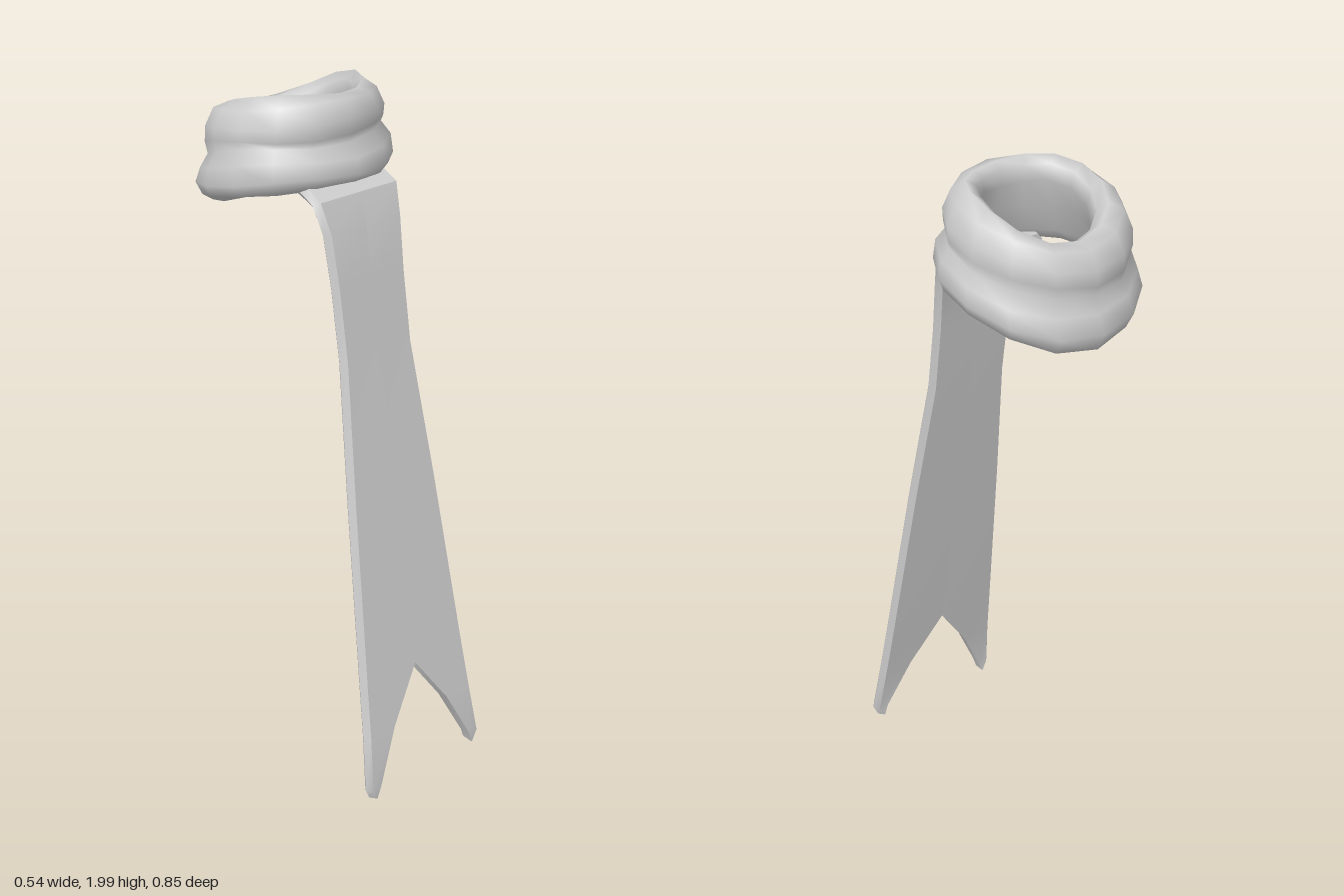
import * as THREE from 'three';
import { toCreasedNormals } from 'three/addons/utils/BufferGeometryUtils.js';

// Skins a list of closed cross-sections; either joins the ends or caps them.
function loft(sections, joinEnds) {
  const n = sections.length, m = sections[0].length, index = [];
  for (let i = 0; i < (joinEnds ? n : n - 1); i++) {
    for (let j = 0; j < m; j++) {
      const k = (i + 1) % n, l = (j + 1) % m;
      const a = i * m + j, b = k * m + j, c = k * m + l, d = i * m + l;
      index.push(a, b, d, b, c, d);
    }
  }
  if (!joinEnds) {
    const e = (n - 1) * m;
    for (let j = 1; j < m - 1; j++) index.push(0, j, j + 1, e, e + j + 1, e + j);
  }
  const geometry = new THREE.BufferGeometry();
  geometry.setAttribute('position', new THREE.Float32BufferAttribute(sections.flat(2), 3));
  geometry.setIndex(index);
  geometry.computeVertexNormals();
  return geometry;
}

// Folded neck wrap: each row is one ring of the fold profile, going down the outside and up the inside.
function wrapGeometry() {
  // half width, front z, back z, then height at front, side and back
  const rings = [
    [0.185, 0.035, -0.32, 1.990, 1.980, 1.890],
    [0.222, 0.072, -0.365, 1.980, 1.950, 1.885],
    [0.246, 0.090, -0.390, 1.930, 1.900, 1.835],
    [0.248, 0.082, -0.392, 1.890, 1.865, 1.790],
    [0.244, 0.072, -0.380, 1.870, 1.840, 1.760],
    [0.268, 0.104, -0.400, 1.835, 1.805, 1.715],
    [0.275, 0.112, -0.425, 1.790, 1.755, 1.670],
    [0.262, 0.098, -0.400, 1.762, 1.725, 1.625],
    [0.240, 0.075, -0.355, 1.752, 1.715, 1.610],
    [0.210, 0.050, -0.315, 1.785, 1.750, 1.660],
    [0.175, 0.035, -0.300, 1.860, 1.830, 1.750],
    [0.142, 0.015, -0.275, 1.930, 1.915, 1.835],
    [0.155, 0.015, -0.290, 1.970, 1.960, 1.870],
  ];
  const sides = 14, centre = -0.14, sections = [];
  for (let i = 0; i < sides; i++) {
    const t = (i / sides) * Math.PI * 2, c = Math.cos(t);
    sections.push(rings.map(([rx, zf, zb, yf, ys, yb], j) => [
      -rx * Math.sin(t),
      ys + c * (yf - yb) / 2 + c * c * ((yf + yb) / 2 - ys) + 0.005 * Math.sin(3 * t + j),
      centre + c * (c > 0 ? zf - centre : centre - zb),
    ]));
  }
  return loft(sections, true);
}

// One half of the hanging tail with a bevelled outer edge; side is +1 or -1.
function tailGeometry(side) {
  // height, depth, inner x, outer x
  const rows = [
    [1.752, 0.00, 0, 0.130], [1.748, 0.06, 0, 0.148], [1.730, 0.098, 0, 0.150],
    [1.650, 0.125, 0, 0.138], [1.500, 0.150, 0, 0.131], [1.300, 0.182, 0, 0.131],
    [0.900, 0.255, 0, 0.165], [0.360, 0.352, 0, 0.204], [0.200, 0.382, 0.108, 0.216],
    [0.040, 0.410, 0.186, 0.231], [0.005, 0.408, 0.198, 0.215],
  ];
  const half = 0.018;
  const sections = rows.map(([y, z, xi, xo], i) => {
    const p = rows[Math.max(i - 1, 0)], q = rows[Math.min(i + 1, rows.length - 1)];
    const dy = q[0] - p[0], dz = q[1] - p[1], len = Math.hypot(dy, dz);
    const ny = dz / len * half, nz = -dy / len * half;
    const edge = Math.max(xo - 0.014, xi + 0.003);
    const loop = [[xi, 1], [edge, 1], [xo, 0], [edge, -1], [xi, -1]]
      .map(([x, s]) => [side * x, y + s * ny, z + s * nz]);
    return side > 0 ? loop : loop.reverse();
  });
  return toCreasedNormals(loft(sections, false), 0.7);
}

export function createModel() {
  const cloth = new THREE.MeshStandardMaterial({ color: 0xcccccc });
  cloth.name = 'cloth grey';

  const model = new THREE.Group();
  model.name = 'scarf';

  const wrap = new THREE.Mesh(wrapGeometry(), cloth);
  wrap.name = 'neckWrap';
  model.add(wrap);

  const tail = new THREE.Group();
  tail.name = 'tail';
  for (const side of [1, -1]) {
    const mesh = new THREE.Mesh(tailGeometry(side), cloth);
    mesh.name = side > 0 ? 'leftTailHalf' : 'rightTailHalf';
    tail.add(mesh);
  }
  model.add(tail);
  return model;
}
